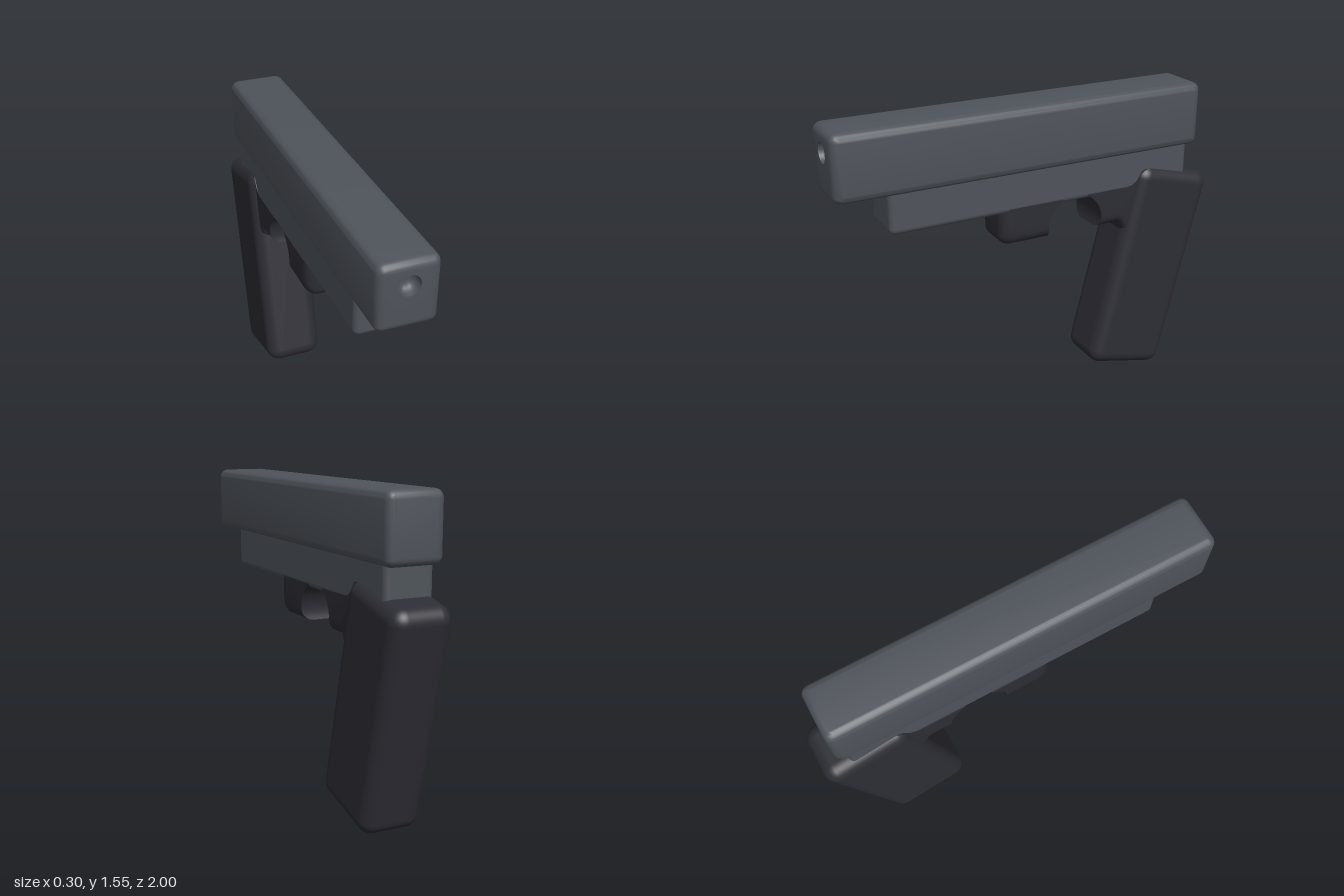
import * as THREE from 'three';
import { toCreasedNormals } from 'three/addons/utils/BufferGeometryUtils.js';
import { RoundedBoxGeometry } from 'three/addons/geometries/RoundedBoxGeometry.js';

const steel = new THREE.MeshStandardMaterial({ color: 0x4f545b });
steel.name = 'slate grey';
const polymer = new THREE.MeshStandardMaterial({ color: 0x2d2d35 });
polymer.name = 'dark charcoal';

// Joins counter-clockwise rings [{ w, pts: [[u, v], ...] }] along w and caps both ends
function loft(rings, crease) {
  const pos = [], idx = [], n = rings[0].pts.length;
  for (const { w, pts } of rings) for (const [u, v] of pts) pos.push(u, v, w);
  for (let i = 0; i < rings.length - 1; i++) {
    for (let j = 0; j < n; j++) {
      const k = (j + 1) % n;
      const a = i * n + j, b = i * n + k, c = b + n, d = a + n;
      idx.push(a, b, c, a, c, d);
    }
  }
  const cap = (i, flip) => {
    const contour = rings[i].pts.map(([u, v]) => new THREE.Vector2(u, v));
    for (const [a, b, c] of THREE.ShapeUtils.triangulateShape(contour, [])) {
      const t = flip ? [a, c, b] : [a, b, c];
      idx.push(...t.map((q) => q + i * n));
    }
  };
  cap(0, true);
  cap(rings.length - 1, false);
  const geo = new THREE.BufferGeometry();
  geo.setAttribute('position', new THREE.Float32BufferAttribute(pos, 3));
  geo.setIndex(idx);
  return toCreasedNormals(geo, crease);
}

// Four corner arcs: a rounded rectangle, or a circle when hw and hh equal r
function roundedRing(cy, hw, hh, r) {
  const pts = [], steps = 6;
  for (let q = 0; q < 4; q++) {
    const sx = q === 0 || q === 3 ? 1 : -1, sy = q < 2 ? 1 : -1;
    for (let i = 0; i <= steps; i++) {
      const a = (q + i / steps) * Math.PI / 2;
      pts.push([sx * (hw - r) + r * Math.cos(a), cy + sy * (hh - r) + r * Math.sin(a)]);
    }
  }
  return pts;
}

// Long top block with rounded ends and a shallow round recess in the front
function slideGeometry() {
  const hw = 0.14, hh = 0.16, cy = 1.39, r = 0.04, z0 = -0.915, z1 = 1, steps = 5;
  const rings = [];
  const end = (z, dir, t) => {
    const e = r * (1 - Math.cos(t)) * 0.98;
    rings.push({ w: z + dir * r * (1 - Math.sin(t)), pts: roundedRing(cy, hw - e, hh - e, r - e) });
  };
  for (let i = steps; i >= 0; i--) end(z0, 1, Math.PI / 2 * i / steps);
  for (let i = 0; i <= steps; i++) end(z1, -1, Math.PI / 2 * i / steps);
  for (const [w, c] of [[z1, 0.049], [z1 - 0.02, 0.046], [z1 - 0.04, 0.036], [z1 - 0.05, 0.018]]) {
    rings.push({ w, pts: roundedRing(1.44, c, c, c) });
  }
  return loft(rings, 0.7);
}

// Side profiles of the guard, u pointing backwards; e is the inset near the sides
const ARC = { u: 0.21, v: 0.92, r: 0.15 };
function arcPoints(from, to) {
  return Array.from({ length: 13 }, (_, i) => {
    const a = from + (to - from) * i / 12;
    return [ARC.u + ARC.r * Math.cos(a), ARC.v + ARC.r * Math.sin(a)];
  });
}
const topAngle = Math.asin(0.8);

function frontProfile(e) {
  const b = 0.865 + e, f = -0.19 + e, r = 0.05, pts = [[f, 1.06]];
  for (let i = 0; i <= 6; i++) {
    const a = Math.PI + i / 6 * Math.PI / 2;
    pts.push([f + r + r * Math.cos(a), b + r + r * Math.sin(a)]);
  }
  const low = Math.asin((b - ARC.v) / ARC.r);
  return [...pts, ...arcPoints(Math.PI - low, Math.PI - topAngle), [0.14, 1.06]];
}

function rearProfile(e) {
  const b = 0.865 + e, low = Math.asin((b - ARC.v) / ARC.r);
  return [
    [0.28, 1.06], ...arcPoints(topAngle, low),
    [0.46, b], [0.485, b - 0.012], [0.498, b - 0.045], [0.6, 0.78],
    [0.7, 1.09], [0.62, 1.14], [0.595, 1.13], [0.565, 1.085], [0.54, 1.066], [0.51, 1.06],
  ];
}

// Sweeps a profile across the width, rounding its outer edges
function guardGeometry(profile) {
  const half = 0.123, r = 0.06, steps = 5, rings = [];
  for (const side of [-1, 1]) {
    for (let i = 0; i <= steps; i++) {
      const t = Math.PI / 2 * (side < 0 ? steps - i : i) / steps;
      rings.push({ w: side * (half - r + r * Math.sin(t)), pts: profile(r * (1 - Math.cos(t))) });
    }
  }
  return loft(rings, 0.6).rotateY(Math.PI / 2);
}

export function createModel() {
  const model = new THREE.Group();
  model.name = 'blockyPistol';
  const add = (name, geometry, material) => {
    const mesh = new THREE.Mesh(geometry, material);
    mesh.name = name;
    model.add(mesh);
    return mesh;
  };

  add('slide', slideGeometry(), steel);

  // Narrower block under the slide
  add('frame', new RoundedBoxGeometry(0.24, 0.23, 1.615, 4, 0.03), steel)
    .position.set(0, 1.152, -0.0575);

  // Guard in two pieces, either side of the round cutout
  add('guardFront', guardGeometry(frontProfile), polymer);
  add('guardRear', guardGeometry(rearProfile), polymer);

  // Raked handle
  const grip = add('grip', new RoundedBoxGeometry(0.3, 1.106, 0.446, 6, 0.07), polymer);
  grip.position.set(0, 0.575, -0.665);
  grip.rotation.x = -14 * Math.PI / 180;

  return model;
}
